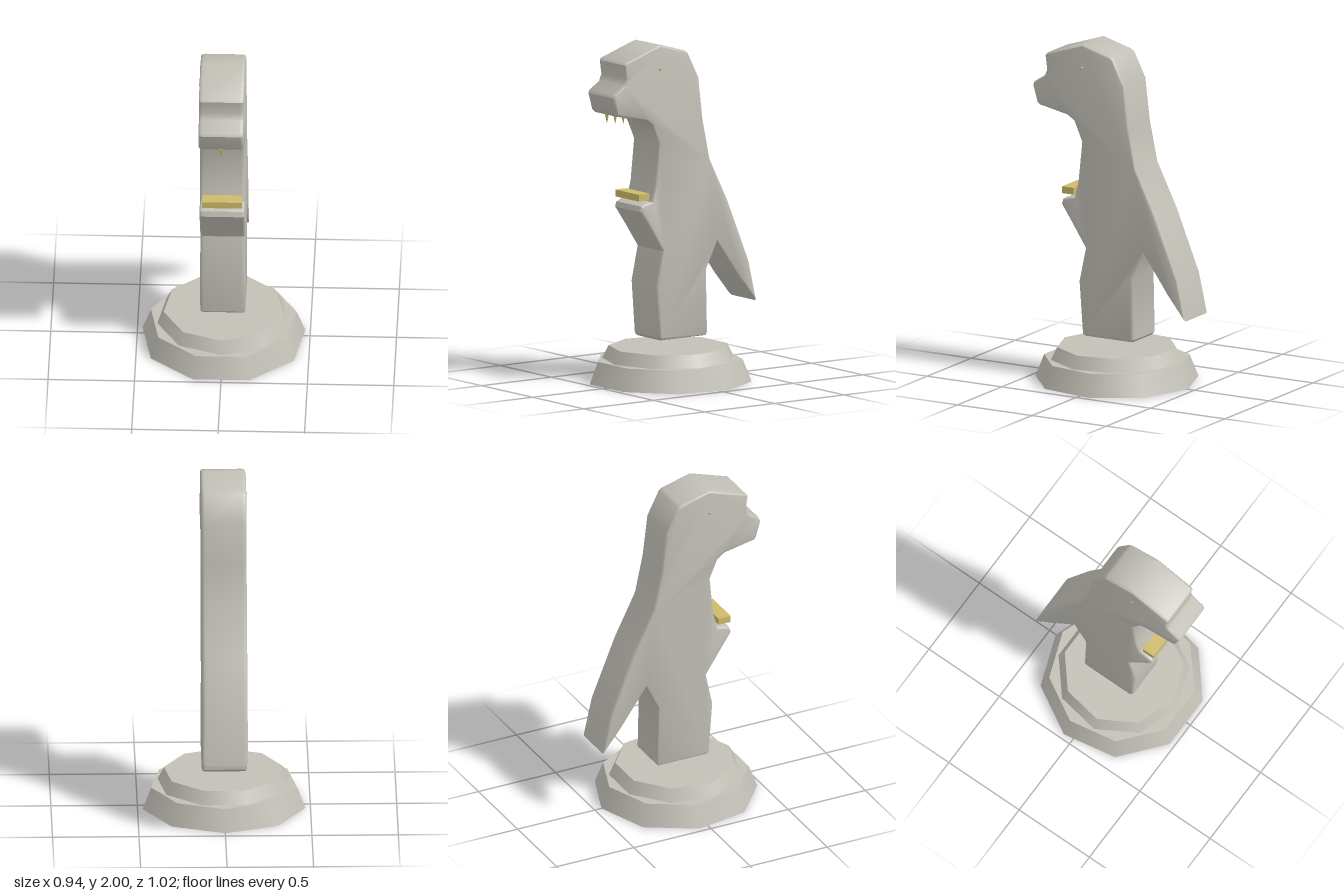
import * as THREE from 'three';
import { toCreasedNormals } from 'three/addons/utils/BufferGeometryUtils.js';

export function createModel() {
  const group = new THREE.Group();
  const stone = new THREE.MeshStandardMaterial({ name: 'stone', color: 0xc2bfb6 });
  const gold = new THREE.MeshStandardMaterial({ name: 'gold', color: 0xcdbb6b });

  const add = (name, geometry, material, x = 0, y = 0, z = 0) => {
    const mesh = new THREE.Mesh(geometry, material);
    mesh.name = name;
    mesh.position.set(x, y, z);
    group.add(mesh);
    return mesh;
  };

  // Two nine-sided plinth tiers, turned half a side from each other
  const tier = (name, top, bottom, y0, y1, turn) =>
    add(name, new THREE.CylinderGeometry(top, bottom, y1 - y0, 9, 1, false, turn),
      stone, 0, (y0 + y1) / 2, 0.022);
  tier('lowerPlinth', 0.428, 0.478, 0, 0.13, Math.PI);
  tier('upperPlinth', 0.35, 0.387, 0.13, 0.205, 0);

  // Body silhouette as [z, y], from the crown down the back and up the front
  const outline = [
    [0.18, 2], [-0.005, 1.95], [-0.025, 1.935], [-0.1, 1.787], [-0.13, 1.538],
    [-0.18, 1.3], [-0.31, 1.04], [-0.46, 0.673], [-0.51, 0.435], [-0.39, 0.578],
    [-0.23, 0.806], [-0.155, 0.652], [-0.163, 0.28], [-0.15, 0.265],
    [0.165, 0.265], [0.18, 0.28], [0.203, 0.59], [0.16, 0.79], [0.26, 0.944],
    [0.322, 1.034], [0.312, 1.065], [0.28, 1.08], [0.235, 1.085], [0.21, 1.18],
    [0.185, 1.42], [0.235, 1.535], [0.28, 1.567], [0.47, 1.605], [0.485, 1.62],
    [0.514, 1.72], [0.505, 1.74], [0.435, 1.785], [0.42, 1.824], [0.432, 1.905],
    [0.42, 1.92],
  ];
  const bevel = 0.022;
  const width = 0.26;
  const body = new THREE.ExtrudeGeometry(
    new THREE.Shape(outline.map(([z, y]) => new THREE.Vector2(z, y))),
    {
      depth: width - 2 * bevel, bevelThickness: bevel, bevelSize: 0.012,
      bevelOffset: -0.012, bevelSegments: 3,
    });
  body.translate(0, 0, -(width - 2 * bevel) / 2);
  body.rotateY(-Math.PI / 2);
  add('body', toCreasedNormals(body, 0.65), stone);

  // Bar above the paws
  add('bar', new THREE.BoxGeometry(0.23, 0.04, 0.078), gold, 0, 1.115, 0.284);

  // Row of teeth along the middle of the jaw
  [[0.467, 1.58], [0.408, 1.572], [0.35, 1.565], [0.292, 1.558]].forEach(([z, y]) => {
    const tooth = new THREE.ConeGeometry(0.013, 0.058, 6);
    tooth.rotateX(Math.PI);
    add('tooth', tooth, gold, 0, y, z);
  });

  // Small eyes on both sides of the head
  for (const side of [-1, 1]) {
    add('eye', new THREE.SphereGeometry(0.01, 6, 4), gold, side * 0.128, 1.86, 0.18);
  }
  return group;
}
